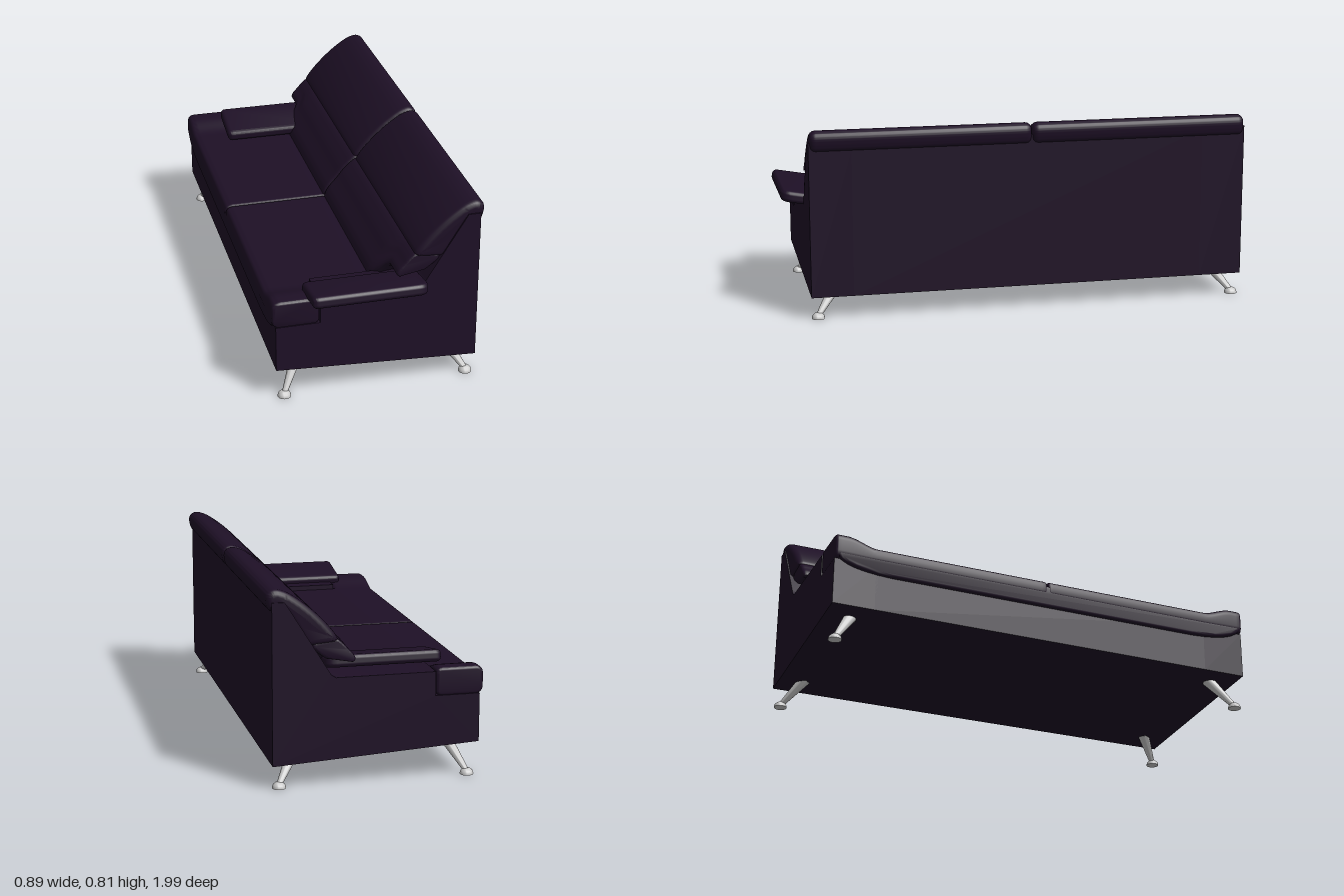
import * as THREE from 'three';
import { toCreasedNormals } from 'three/addons/utils/BufferGeometryUtils.js';

const MID = -0.05;   // z of the seam between the two seats
const HALF = 0.95;   // half the sofa length along z

const leather = new THREE.MeshStandardMaterial({ color: 0x1e1026 });
const metal = new THREE.MeshStandardMaterial({ color: 0xcccccc });
const { smoothstep } = THREE.MathUtils;

const polygon = pts => new THREE.Shape(pts.map(p => new THREE.Vector2(...p)));

// Closed smooth outline; the last point joins the first by a straight line.
function softShape(pts) {
  const shape = new THREE.Shape();
  shape.moveTo(...pts[0]);
  shape.splineThru(pts.slice(1).map(p => new THREE.Vector2(...p)));
  return shape;
}

// Rectangle with radius r on the low-x corners and R on the high-x corners.
function roundedRect(x0, x1, y0, y1, r, R) {
  const s = new THREE.Shape();
  s.moveTo(x0 + r, y0);
  s.lineTo(x1 - R, y0);
  s.quadraticCurveTo(x1, y0, x1, y0 + R);
  s.lineTo(x1, y1 - R);
  s.quadraticCurveTo(x1, y1, x1 - R, y1);
  s.lineTo(x0 + r, y1);
  s.quadraticCurveTo(x0, y1, x0, y1 - r);
  s.lineTo(x0, y0 + r);
  s.quadraticCurveTo(x0, y0, x0 + r, y0);
  return s;
}

// Extrusion from 0 to depth whose bevel stays inside the outline.
function extrude(shape, depth, bevel = 0, steps = 1) {
  return new THREE.ExtrudeGeometry(shape, {
    depth: depth - 2 * bevel, steps, bevelEnabled: bevel > 0, bevelThickness: bevel,
    bevelSize: bevel, bevelOffset: -bevel, bevelSegments: 4, curveSegments: 6,
  }).translate(0, 0, bevel);
}

// Side profile swept along z, between distances a and b from the seam.
function sweep(shape, side, a, b, bevel = 0, steps = 1) {
  return extrude(shape, b - a, bevel, steps).translate(0, 0, side > 0 ? MID + a : MID - b);
}

// Move each vertex by a rule of x, y and its distance from the seam.
function warp(geo, rule) {
  const pos = geo.attributes.position;
  for (let i = 0; i < pos.count; i++) {
    const [x, y] = rule(pos.getX(i), pos.getY(i), Math.abs(pos.getZ(i) - MID));
    pos.setXY(i, x, y);
  }
  return geo;
}

// Lumbar roll: near the arm its front draws back and up to rest on the arm pad.
function lumbarRule(x, y, d) {
  const t = smoothstep(d, 0.73, 0.83);
  return [x < 0.16 ? x + t * 0.07 * (0.16 - x) / 0.15 : x,
    y < 0.6 ? y + t * 0.09 * (0.6 - y) / 0.18 : y];
}

// Seat: deep and low between the arms, short and high in front of them.
function seatRule(x, y, d) {
  const drop = 0.035 * (1 - smoothstep(d, 0.76, 0.9));
  return [x > -0.31 && d < 0.765 ? x + 0.41 : x,
    y - drop * smoothstep(y, 0.36, 0.43)];
}

export function createModel() {
  const sofa = new THREE.Group();
  sofa.name = 'sofa';

  const add = (name, geo, mat = leather) => {
    const mesh = new THREE.Mesh(toCreasedNormals(geo, 0.7), mat);
    mesh.name = name;
    sofa.add(mesh);
    return mesh;
  };

  // Base and backrest frame
  const frame = polygon([[-0.43, 0.145], [0.422, 0.098], [0.422, 0.76], [0.37, 0.76],
    [0.2, 0.48], [0.12, 0.36], [-0.43, 0.36]]);
  add('frame', extrude(frame, 1.54).translate(0, 0, MID - 0.77));

  const panel = polygon([[-0.43, 0.145], [0.422, 0.098], [0.422, 0.76], [0.37, 0.76],
    [0.2, 0.485], [0.185, 0.46], [0.165, 0.447], [-0.245, 0.447], [-0.245, 0.347], [-0.43, 0.347]]);

  // Cushion side profiles
  const back = softShape([[0.165, 0.585], [0.155, 0.605], [0.2, 0.665], [0.27, 0.733], [0.34, 0.785],
    [0.385, 0.806], [0.415, 0.808], [0.437, 0.793], [0.441, 0.765], [0.425, 0.725], [0.37, 0.72],
    [0.28, 0.575]]);
  const lumbar = softShape([[0.03, 0.4], [0.01, 0.425], [0.025, 0.465], [0.065, 0.512],
    [0.105, 0.56], [0.16, 0.601], [0.23, 0.59], [0.26, 0.54], [0.2, 0.44]]);
  const seat = roundedRect(-0.445, -0.248, 0.344, 0.46, 0.035, 0.025);

  for (const s of [1, -1]) {
    const label = s > 0 ? 'left' : 'right';
    add(label + 'SidePanel', sweep(panel, s, 0.76, HALF));
    add(label + 'BackCushion', sweep(back, s, 0.001, 0.945, 0.026));
    add(label + 'LumbarCushion', warp(sweep(lumbar, s, 0, 0.935, 0.016, 40), lumbarRule));
    add(label + 'SeatCushion', warp(sweep(seat, s, 0.001, HALF, 0.012, 60), seatRule));

    // Arm pad, its outer edge tilted up; both lie at the same offset along z
    const pad = add(label + 'ArmPad', extrude(roundedRect(-0.2425, 0.2425, -0.1085, 0.1085, 0.025, 0.05),
      0.05, 0.018).rotateX(Math.PI / 2).translate(0, 0.025, 0));
    pad.position.set(-0.053, 0.471, s > 0 ? 0.886 : -0.81);
    pad.rotation.x = -s * 0.18;
  }

  // Front lip bulging below the seat cushions
  const lip = new THREE.Shape();
  lip.moveTo(-0.94, 0.4);
  lip.lineTo(-0.94, 0.36);
  lip.quadraticCurveTo(-0.9, 0.305, -0.7, 0.3);
  lip.lineTo(0.7, 0.3);
  lip.quadraticCurveTo(0.9, 0.305, 0.94, 0.36);
  lip.lineTo(0.94, 0.4);
  add('seatLip', extrude(lip, 0.05, 0.014).rotateY(-Math.PI / 2).translate(-0.394, 0, MID));

  // Splayed tapered legs on domed feet
  const foot = new THREE.LatheGeometry([[0, 0], [0.028, 0], [0.028, 0.004], [0.025, 0.014],
    [0.017, 0.022], [0, 0.026]].map(p => new THREE.Vector2(...p)), 24);
  const up = new THREE.Vector3(0, 1, 0);
  for (const sx of [-1, 1]) for (const s of [-1, 1]) {
    const name = (sx < 0 ? 'front' : 'back') + (s > 0 ? 'Left' : 'Right');
    const low = new THREE.Vector3(sx * 0.391, 0.012, MID + s * 0.92);
    const top = new THREE.Vector3(sx * 0.315, sx < 0 ? 0.15 : 0.12, MID + s * 0.835);
    const dir = top.clone().sub(low);
    const leg = add(name + 'Leg', new THREE.CylinderGeometry(0.026, 0.011, dir.length(), 20), metal);
    leg.position.copy(low).addScaledVector(dir, 0.5);
    leg.quaternion.setFromUnitVectors(up, dir.normalize());
    add(name + 'Foot', foot, metal).position.set(low.x, 0, low.z);
  }
  return sofa;
}
